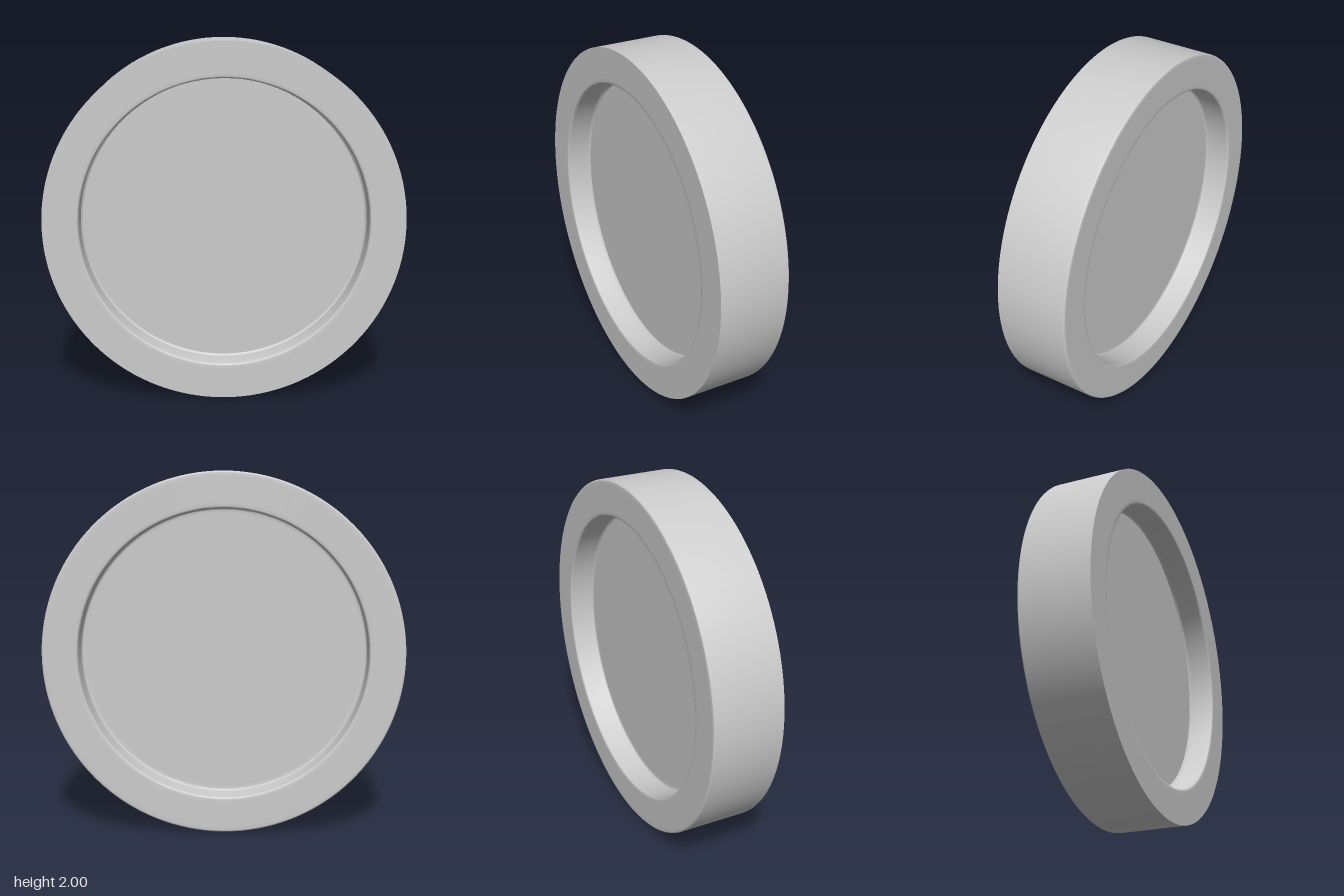
import * as THREE from 'three';
import { toCreasedNormals } from 'three/addons/utils/BufferGeometryUtils.js';

const OUTER = 1, HALF = 0.2, RECESS = 0.8, FLOOR = 0.055, SEGMENTS = 128;

// Quarter-round between two profile directions, centred on (cx, cy)
function fillet(cx, cy, r, from, to, steps = 4) {
  return Array.from({ length: steps + 1 }, (_, i) => {
    const a = THREE.MathUtils.degToRad(from + ((to - from) * i) / steps);
    return new THREE.Vector2(cx + r * Math.cos(a), cy + r * Math.sin(a));
  });
}

export function createModel() {
  const group = new THREE.Group();
  group.name = 'recessedDisc';
  const p = (x, y) => new THREE.Vector2(x, y);
  const r = 0.012;

  // Half cross-section from the back centre, round the rim, to the front centre
  const profile = [
    p(0, -FLOOR), p(RECESS - 0.03, -FLOOR),
    // back recess: soft floor corner, wall and rounded lip
    ...fillet(RECESS - r, -FLOOR - r, r, 90, 0),
    ...fillet(RECESS + r, -HALF + r, r, 180, 270),
    p(RECESS + 0.03, -HALF), p(OUTER - 0.03, -HALF),
    // rounded back edge and crisp front edge of the rim
    ...fillet(OUTER - 0.01, -HALF + 0.01, 0.01, -90, 0),
    p(OUTER, HALF), p(RECESS + 0.03, HALF),
    // front recess: rounded lip, wall and chamfered floor corner
    ...fillet(RECESS + r, HALF - r, r, 90, 180),
    p(RECESS, FLOOR + 0.01), p(RECESS - 0.01, FLOOR),
    p(0, FLOOR),
  ];

  const geometry = new THREE.LatheGeometry(profile, SEGMENTS);
  geometry.rotateX(Math.PI / 2);
  const disc = new THREE.Mesh(
    toCreasedNormals(geometry, 0.5),
    new THREE.MeshStandardMaterial({ color: 0xcccccc }),
  );
  disc.name = 'disc';
  disc.position.y = OUTER;
  group.add(disc);
  return group;
}
